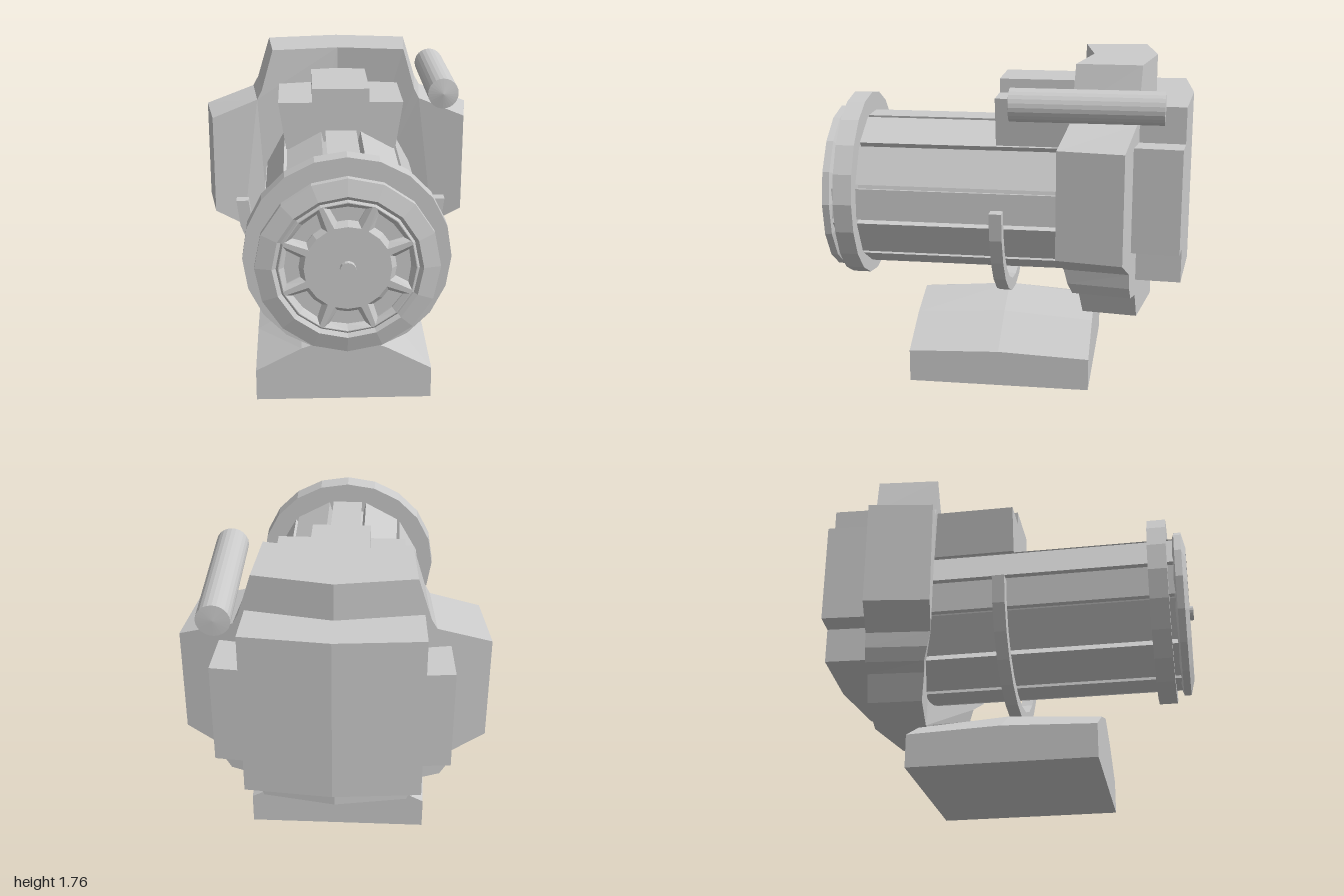
import * as THREE from 'three';

const material = new THREE.MeshStandardMaterial({ color: 0xcccccc, flatShading: true, side: THREE.DoubleSide });
const smooth = new THREE.MeshStandardMaterial({ color: 0xcccccc });
const AXIS = 0.98; // height of the motor shaft

export function createModel() {
  const model = new THREE.Group();
  model.name = 'motorPump';

  const add = (name, geometry, x = 0, y = 0, z = 0, mat = material) => {
    const mesh = new THREE.Mesh(geometry, mat);
    mesh.name = name;
    mesh.position.set(x, y, z);
    model.add(mesh);
    return mesh;
  };
  const shapeOf = (pts) => new THREE.Shape(pts.map(([x, y]) => new THREE.Vector2(x, y)));
  const extrude = (shape, depth, bevel = {}) =>
    new THREE.ExtrudeGeometry(shape, { depth, bevelEnabled: false, curveSegments: 10, ...bevel });
  const polar = (r, a) => [r * Math.cos(a), r * Math.sin(a)];
  const rad = THREE.MathUtils.degToRad;
  const disc = (r1, r2, length, sides) =>
    new THREE.CylinderGeometry(r1, r2, length, sides).rotateX(Math.PI / 2);

  // Move vertices by a rule
  const warp = (geometry, rule) => {
    const p = geometry.attributes.position;
    const v = new THREE.Vector3();
    for (let i = 0; i < p.count; i++) {
      rule(v.fromBufferAttribute(p, i));
      p.setXYZ(i, v.x, v.y, v.z);
    }
    geometry.computeVertexNormals();
    return geometry;
  };

  // Motor barrel with narrow lengthwise grooves
  const barrel = [];
  for (let q = 0; q < 4; q++) {
    for (const a of [13, 45, 77]) {
      const c = q * 90 + a;
      barrel.push(polar(0.43, rad(c - 1.6)), polar(0.37, rad(c - 1.6)),
        polar(0.37, rad(c + 1.6)), polar(0.43, rad(c + 1.6)));
    }
  }
  add('motorBarrel', extrude(shapeOf(barrel), 1.42), 0, AXIS, -0.5);

  // Front flange and end cap
  add('frontFlange', disc(0.515, 0.515, 0.1, 20), 0, 1.0, 0.83);
  const rim = [[0.42, 0], [0.455, 0.012], [0.455, 0.05], [0.37, 0.072], [0.34, 0.045]];
  add('endCapRim', new THREE.LatheGeometry(rim.map(([r, y]) => new THREE.Vector2(r, y)), 16)
    .rotateX(Math.PI / 2), 0, AXIS, 0.908);

  // Cap face with eight tapered vents
  const face = shapeOf(Array.from({ length: 16 }, (_, i) => polar(0.34, i * Math.PI / 8)));
  for (let i = 0; i < 8; i++) {
    const a = i * Math.PI / 4;
    const vent = [polar(0.215, a - 0.31), polar(0.335, a - 0.36), polar(0.335, a),
      polar(0.335, a + 0.36), polar(0.215, a + 0.31), polar(0.215, a)];
    face.holes.push(new THREE.Path(vent.map(([x, y]) => new THREE.Vector2(x, y))));
  }
  add('endCapFace', extrude(face, 0.01,
    { bevelEnabled: true, bevelSize: 0.024, bevelThickness: 0.025, bevelSegments: 1 }), 0, AXIS, 0.938);
  add('shaftEnd', disc(0.04, 0.04, 0.06, 16), 0, AXIS, 0.97);

  // Half-ring cradle under the barrel
  const cradle = [];
  for (let i = 0; i <= 12; i++) cradle.push(polar(0.583, Math.PI * (1 + i / 12)));
  for (let i = 12; i >= 0; i--) cradle.push(polar(0.515, Math.PI * (1 + i / 12)));
  add('cradle', extrude(shapeOf(cradle), 0.066), 0, 1.0, -0.033);

  // Terminal box on top of the barrel
  add('terminalBox', extrude(shapeOf([[-0.3, 1.3], [0.3, 1.3], [0.34, 1.56], [-0.34, 1.56]]), 0.6), 0, 0, -0.565);
  add('terminalLid', new THREE.BoxGeometry(0.31, 0.1, 0.6), 0, 1.585, -0.265);

  // Housing and rear cover: mirrored halves, bent back towards the middle
  const housing = [[0, 1.76], [0.4, 1.76], [0.47, 1.53], [0.5, 1.475], [0.775, 1.38], [0.775, 0.81],
    [0.6, 0.71], [0.59, 0.63], [0.55, 0.565], [0.44, 0.545], [0.38, 0.405], [0, 0.405]];
  const cover = [[0, 1.56], [0.45, 1.56], [0.45, 1.37], [0.59, 1.37], [0.59, 0.82],
    [0.45, 0.82], [0.45, 0.63], [0, 0.63]];
  for (const side of [1, -1]) {
    const label = side > 0 ? 'left' : 'right';
    const mirrored = (pts) => shapeOf(pts.map(([x, y]) => [x * side, y]));
    add(label + 'Housing', warp(extrude(mirrored(housing), 0.34), (v) => {
      const slope = 0.17 * Math.abs(v.x);
      const lower = 0.05 * THREE.MathUtils.clamp((0.7 - v.y) / 0.2, 0, 1);
      if (v.z > 0.1) {
        v.x *= 0.935;
        v.y = 1.08 + (v.y - 1.08) * 0.995;
        v.z -= lower;
      }
      v.z += slope - 0.8;
    }));
    add(label + 'RearCover', warp(extrude(mirrored(cover), 0.3), (v) => {
      const slope = 0.085 * Math.abs(v.x);
      if (v.z > 0.1) v.x *= 0.965;
      v.z += slope - 1.0;
    }));
  }

  // Side canister with shallow conical ends
  const can = [[0, 0], [0.085, 0.015], [0.085, 0.79], [0, 0.795]];
  const canister = new THREE.LatheGeometry(can.map(([r, y]) => new THREE.Vector2(r, y)), 24)
    .rotateX(-Math.PI / 2).toNonIndexed();
  canister.computeVertexNormals();
  add('canister', canister, 0.572, 1.575, -0.062, smooth);

  // Foot: peaked block, highest across its middle
  const profile = [[-0.48, 0], [0.48, 0], [0.48, 0.195], [0.23, 0.34], [0, 0.425], [-0.23, 0.34], [-0.48, 0.195]];
  add('foot', warp(extrude(shapeOf(profile), 0.98, { steps: 2 }), (v) => {
    v.z -= 0.49;
    if (Math.abs(v.z) > 0.1) v.y *= 0.905;
  }));

  return model;
}
